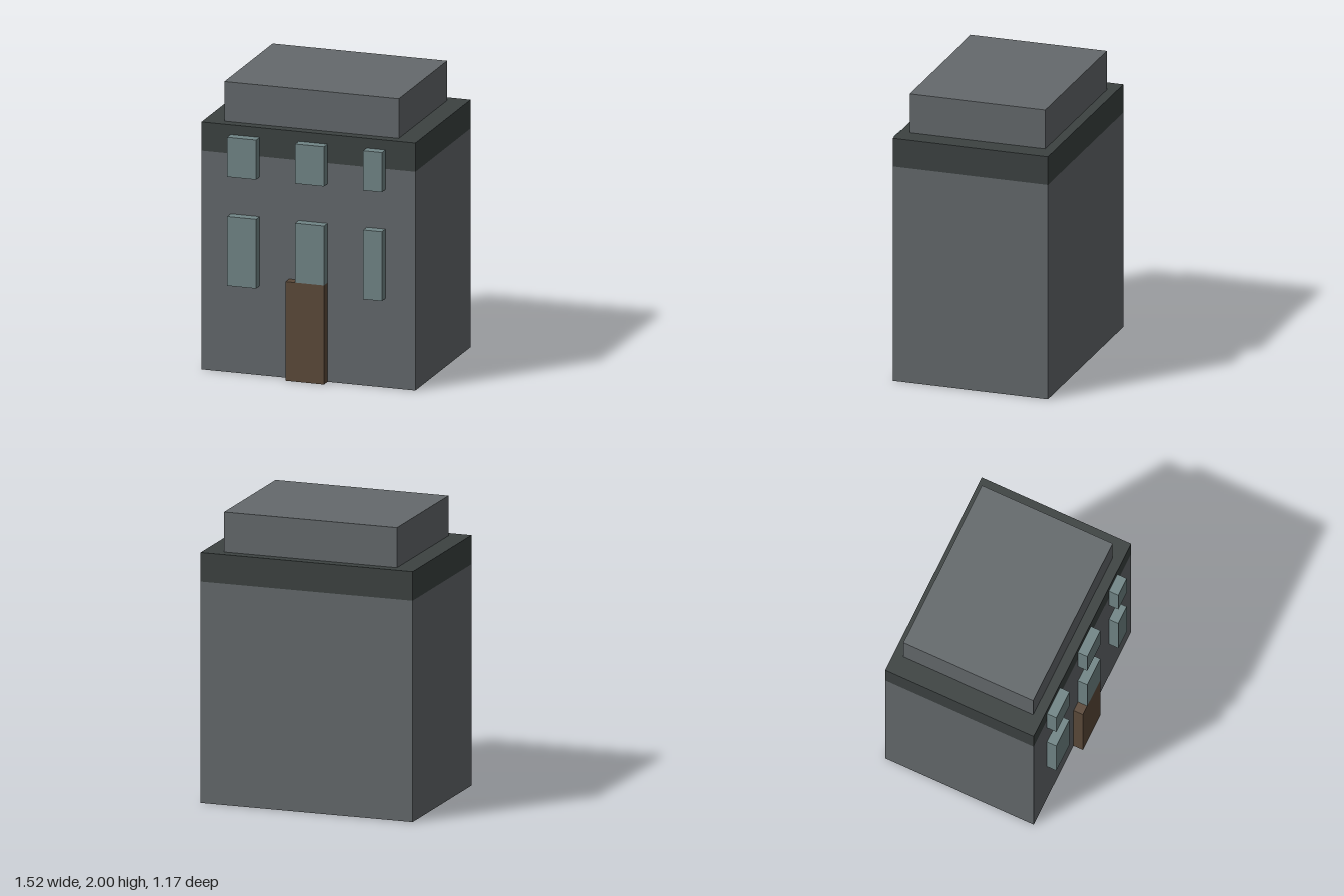
import * as THREE from 'three';

const flat = (name, color) => {
  const m = new THREE.MeshStandardMaterial({ color });
  m.name = name;
  return m;
};

export function createModel() {
  const wall = flat('grey wall', 0x64696c);
  const trim = flat('dark trim', 0x3c4241);
  const glass = flat('window glass', 0x728687);
  const wood = flat('door wood', 0x5c4a3a);

  const group = new THREE.Group();
  group.name = 'building';

  // Box given by its extents on each axis
  const block = (name, material, [x0, x1], [y0, y1], [z0, z1]) => {
    const mesh = new THREE.Mesh(new THREE.BoxGeometry(x1 - x0, y1 - y0, z1 - z0), material);
    mesh.position.set((x0 + x1) / 2, (y0 + y1) / 2, (z0 + z1) / 2);
    mesh.name = name;
    group.add(mesh);
  };

  // Main volume, cornice band and set-back roof storey
  const depth = [-0.586, 0.517];
  block('walls', wall, [-0.759, 0.759], [0, 1.524], depth);
  block('cornice', trim, [-0.759, 0.759], [1.524, 1.724], depth);
  block('roofStorey', wall, [-0.621, 0.617], [1.724, 2], [-0.517, 0.448]);

  // Door and windows stand proud of the front wall
  const proud = [0.517, 0.586];
  const doorTop = 0.69;
  block('door', wood, [-0.138, 0.135], [0, doorTop], proud);

  const columns = [
    { name: 'right', x: [-0.552, -0.347], sill: 0.621 },
    { name: 'middle', x: [-0.07, 0.135], sill: doorTop },
    { name: 'left', x: [0.413, 0.546], sill: 0.621 },
  ];
  for (const { name, x, sill } of columns) {
    block(`${name}LowerWindow`, glass, x, [sill, 1.104], proud);
    block(`${name}UpperWindow`, glass, x, [1.38, 1.656], proud);
  }
  return group;
}
